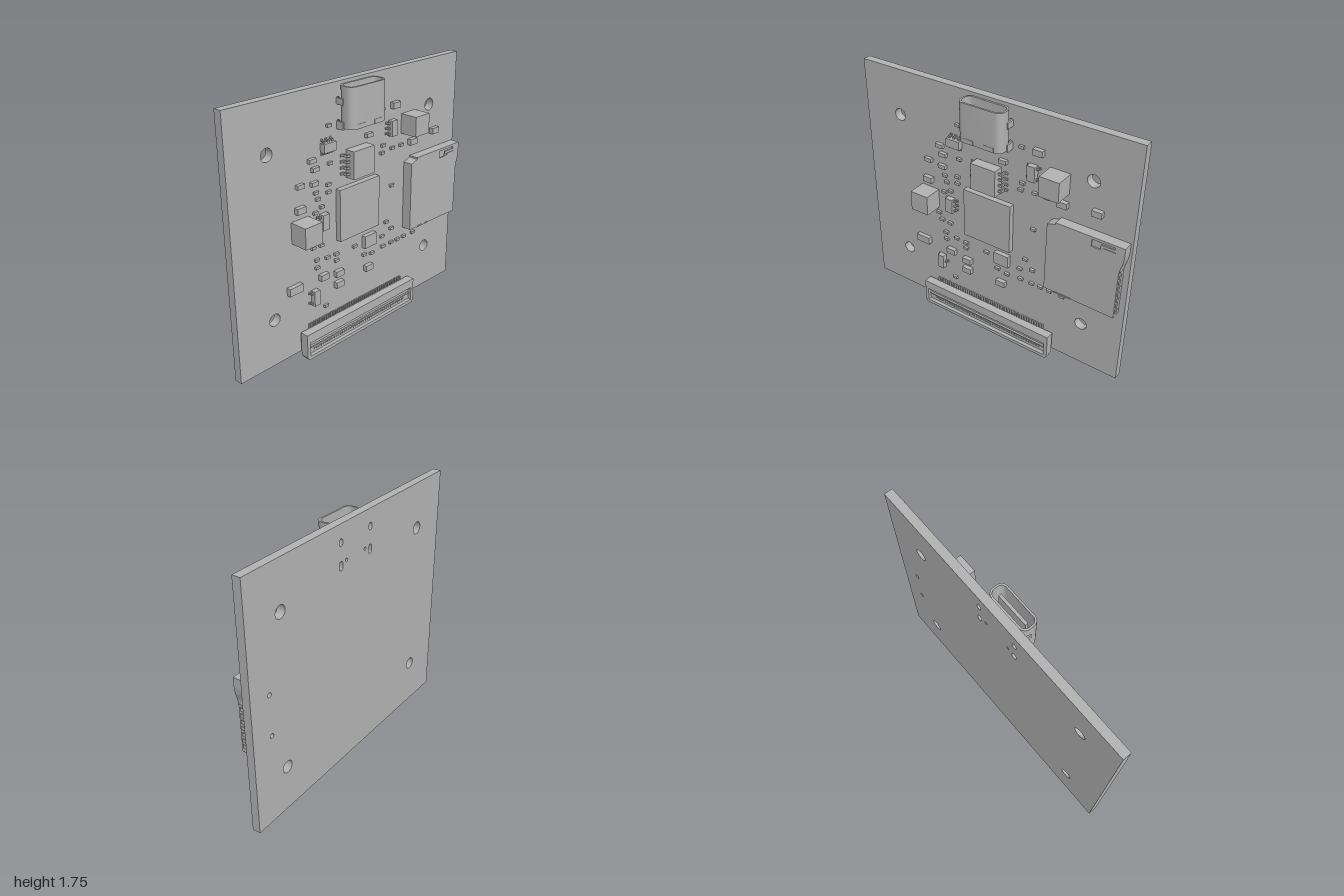
import * as THREE from 'three';
import { toCreasedNormals } from 'three/addons/utils/BufferGeometryUtils.js';

const grey = new THREE.MeshStandardMaterial({ color: 0xb3b3b3, side: THREE.DoubleSide });
grey.name = 'plain grey';
const FACE = -0.035; // front surface of the board

export function createModel() {
  const root = new THREE.Group();
  root.name = 'circuitBoard';

  const add = (name, geo, parent = root) => {
    const mesh = new THREE.Mesh(geo, grey);
    mesh.name = name;
    parent.add(mesh);
    return mesh;
  };
  const group = (name) => {
    const g = new THREE.Group();
    g.name = name;
    root.add(g);
    return g;
  };
  // box given by its limits
  const box = (name, x0, x1, y0, y1, z0, z1, parent) =>
    add(name, new THREE.BoxGeometry(x1 - x0, y1 - y0, z1 - z0)
      .translate((x0 + x1) / 2, (y0 + y1) / 2, (z0 + z1) / 2), parent);
  const poly = (pts) => new THREE.Shape(pts.map(([x, y]) => new THREE.Vector2(x, y)));
  const rect = (x0, x1, y0, y1) => poly([[x0, y0], [x1, y0], [x1, y1], [x0, y1]]);
  const slab = (shape, z0, z1) => new THREE.ExtrudeGeometry(shape,
    { depth: z1 - z0, bevelEnabled: false, curveSegments: 10 }).translate(0, 0, z0);
  const smooth = (geo) => toCreasedNormals(geo, 0.6);
  const roundRect = (w, h, r) => {
    const s = new THREE.Shape(), a = w / 2, b = h / 2;
    s.absarc(a - r, b - r, r, 0, Math.PI / 2);
    s.absarc(r - a, b - r, r, Math.PI / 2, Math.PI);
    s.absarc(r - a, r - b, r, Math.PI, Math.PI * 1.5);
    s.absarc(a - r, r - b, r, Math.PI * 1.5, Math.PI * 2);
    return s;
  };

  // Board with mounting, slot and peg holes
  const board = rect(-1, 1, 0.042, 1.755);
  const hole = (x, y, r, stretch = 0) => {
    const p = new THREE.Path();
    p.absarc(x, y + stretch, r, 0, Math.PI);
    p.absarc(x, y - stretch, r, Math.PI, Math.PI * 2);
    p.closePath();
    board.holes.push(p);
  };
  for (const s of [-1, 1]) {
    for (const y of [0.365, 1.437]) hole(s * 0.715, y, 0.042);
    hole(s * 0.152, 1.638, 0.016, 0.008);
    hole(s * 0.152, 1.49, 0.016, 0.014);
    hole(s * 0.097, 1.51, 0.011);
  }
  for (const y of [0.68, 0.965]) hole(0.84, y, 0.016);
  add('board', smooth(slab(board, -0.092, FACE)));

  // Port at the top edge: hollow shell, back wall, tongue and legs
  const port = group('topPort');
  const upright = (shape, y0, y1) =>
    smooth(slab(shape, y0, y1).rotateX(-Math.PI / 2).translate(0, 0, 0.028));
  const shell = roundRect(0.318, 0.115, 0.045);
  shell.holes.push(roundRect(0.294, 0.091, 0.034));
  add('portShell', upright(shell, 1.475, 1.735), port);
  add('portBackWall', upright(roundRect(0.296, 0.093, 0.035), 1.485, 1.52), port);
  box('portTongue', -0.115, 0.115, 1.51, 1.7, 0.018, 0.038, port);
  for (const s of [-1, 1]) {
    for (const [y, h] of [[1.638, 0.04], [1.49, 0.05]])
      box('portLeg', s * 0.16 - 0.006, s * 0.16 + 0.006, y - h / 2, y + h / 2, -0.06, 0.02, port);
    box('portTab', s * 0.075 - 0.035, s * 0.075 + 0.035, 1.475, 1.505, 0.08, 0.088, port);
  }

  // Chips with bent leads on two opposite sides; sides are x or y
  const chip = (name, x, y, w, h, top, axis, rowA, rowB, reach, leadWidth) => {
    const g = group(name);
    box(name + 'Body', x - w / 2, x + w / 2, y - h / 2, y + h / 2, FACE + 0.006, top, g);
    const mid = (FACE + top) / 2, half = (axis === 'x' ? w : h) / 2, k = leadWidth / 2;
    [[1, rowA], [-1, rowB]].forEach(([s, row]) => row.forEach((o) => {
      const part = (d0, d1, z0, z1) => {
        const a = Math.min(s * d0, s * d1), b = Math.max(s * d0, s * d1);
        if (axis === 'x') box('lead', x + a, x + b, y + o - k, y + o + k, z0, z1, g);
        else box('lead', x + o - k, x + o + k, y + a, y + b, z0, z1, g);
      };
      part(half - 0.005, half + reach * 0.5, mid - 0.004, mid + 0.004);
      part(half + reach * 0.4, half + reach * 0.6, FACE, mid + 0.004);
      part(half + reach * 0.5, half + reach, FACE, FACE + 0.008);
    }));
  };
  const four = [-0.06, -0.02, 0.02, 0.06], three = [-0.035, 0, 0.035], two = [-0.035, 0.035];
  chip('eightPinChip', -0.002, 1.225, 0.185, 0.185, 0.042, 'x', four, four, 0.045, 0.016);
  chip('sixPinChip', -0.26, 1.38, 0.1, 0.058, 0.008, 'y', three, three, 0.022, 0.014);
  chip('fivePinChip', 0.322, 1.365, 0.055, 0.105, 0.008, 'x', two, three, 0.022, 0.014);
  chip('fivePinChip', -0.303, 0.903, 0.055, 0.105, 0.008, 'x', three, two, 0.022, 0.014);
  chip('threePinChip', -0.393, 0.4, 0.046, 0.105, 0.006, 'x', [0], two, 0.02, 0.014);

  // Leadless chips and inductors
  box('processor', -0.18, 0.18, 0.723, 1.077, FACE, 0.004);
  box('smallFlatChip', 0.055, 0.165, 0.585, 0.673, FACE, -0.003);
  box('inductor', 0.43, 0.566, 1.297, 1.432, FACE, 0.092);
  box('inductor', -0.555, -0.417, 0.83, 0.97, FACE, 0.092);

  // Small flat parts, by size: width, height, thickness, then centres
  const scatter = (name, w, h, t, list) => list.forEach(([x, y]) =>
    box(name, x - w / 2, x + w / 2, y - h / 2, y + h / 2, FACE, FACE + t));
  scatter('tinyResistor', 0.034, 0.018, 0.018, [
    [-0.24, 1.505], [0.235, 1.505], [-0.235, 1.265], [-0.355, 1.105], [-0.25, 1.13], [-0.25, 1.08],
    [-0.34, 1.06], [-0.31, 1.0], [-0.365, 0.975], [0.245, 1.26], [0.235, 1.21], [0.335, 1.22],
    [0.425, 1.22], [0.335, 0.955], [-0.415, 0.795], [-0.39, 0.745], [-0.32, 0.74], [-0.36, 0.65],
    [-0.36, 0.595], [-0.27, 0.635], [-0.19, 0.63], [-0.19, 0.585], [-0.02, 0.625], [0.285, 0.7],
    [0.34, 0.635], [0.245, 0.605], [0.07, 0.53], [0.145, 0.515], [0.255, 0.527], [0.34, 0.527],
    [0.405, 0.527], [0.475, 0.527], [0.57, 0.527], [-0.29, 0.29]]);
  scatter('smallCapacitor', 0.055, 0.027, 0.025,
    [[0.105, 1.365], [-0.385, 1.32], [-0.36, 1.26], [-0.485, 1.185], [-0.37, 1.17]]);
  scatter('capacitor', 0.068, 0.041, 0.031, [[0.355, 1.51], [-0.49, 1.035], [0.535, 1.22],
    [0.765, 1.245], [-0.31, 0.515], [-0.175, 0.49], [-0.175, 0.41], [0.105, 0.425]]);
  scatter('largeCapacitor', 0.107, 0.053, 0.03, [[-0.555, 0.52]]);

  // Card socket: cover with a window, bent side walls, floor, open at the bottom
  const socket = group('cardSocket');
  const outline = [[0.467, 0.597], [0.96, 0.59], [0.96, 0.925], [0.967, 0.965], [0.98, 1.01],
    [0.985, 1.05], [0.985, 1.117], [0.525, 1.117], [0.525, 1.105], [0.467, 1.085]];
  const cover = poly(outline);
  cover.holes.push(poly([[0.77, 1.05], [0.77, 1.1], [0.92, 1.1], [0.92, 1.085],
    [0.83, 1.085], [0.83, 1.05]]));
  add('socketCover', slab(cover, 0.024, 0.034), socket);
  const inner = [[0.948, 0.59], [0.948, 0.925], [0.955, 0.965], [0.968, 1.01],
    [0.973, 1.05], [0.973, 1.105], [0.537, 1.105], [0.537, 1.093], [0.479, 1.073], [0.479, 0.597]];
  add('socketWalls', slab(poly([...outline.slice(1), outline[0], ...inner.reverse()]), FACE, 0.024), socket);
  add('socketFloor', slab(poly(outline), FACE, -0.018), socket);
  box('socketSpring', 0.85, 0.925, 1.052, 1.068, 0.022, 0.038, socket);
  box('socketLip', 0.54, 0.66, 0.592, 0.602, 0.015, 0.036, socket);
  for (let i = 0; i < 8; i++)
    box('socketSideTab', 0.958, 0.965, 0.62 + i * 0.044, 0.645 + i * 0.044, -0.005, 0.022, socket);

  // Edge connector along the bottom: framed recess, contacts and solder pins
  const plug = group('edgeConnector');
  const frame = poly([[-0.505, 0], [0.505, 0], [0.52, 0.02], [0.52, 0.19], [-0.52, 0.19], [-0.52, 0.02]]);
  add('connectorBack', slab(frame, -0.022, 0.012), plug);
  const rim = frame.clone();
  rim.holes.push(rect(-0.495, 0.495, 0.025, 0.125));
  add('connectorFrame', slab(rim, 0.012, 0.038), plug);
  box('connectorRail', -0.49, 0.49, 0.076, 0.086, 0.01, 0.026, plug);
  for (let i = 0; i < 45; i++) {
    const x = -0.44 + i * 0.02;
    box('solderPin', x - 0.004, x + 0.004, 0.18, 0.217, FACE, -0.018, plug);
    box('contact', x - 0.004, x + 0.004, 0.045, 0.055, 0.01, 0.018, plug);
  }
  for (const s of [-1, 1])
    box('connectorFoot', s * 0.495 - 0.015, s * 0.495 + 0.015, 0.09, 0.17, FACE, -0.02, plug);

  return root;
}
